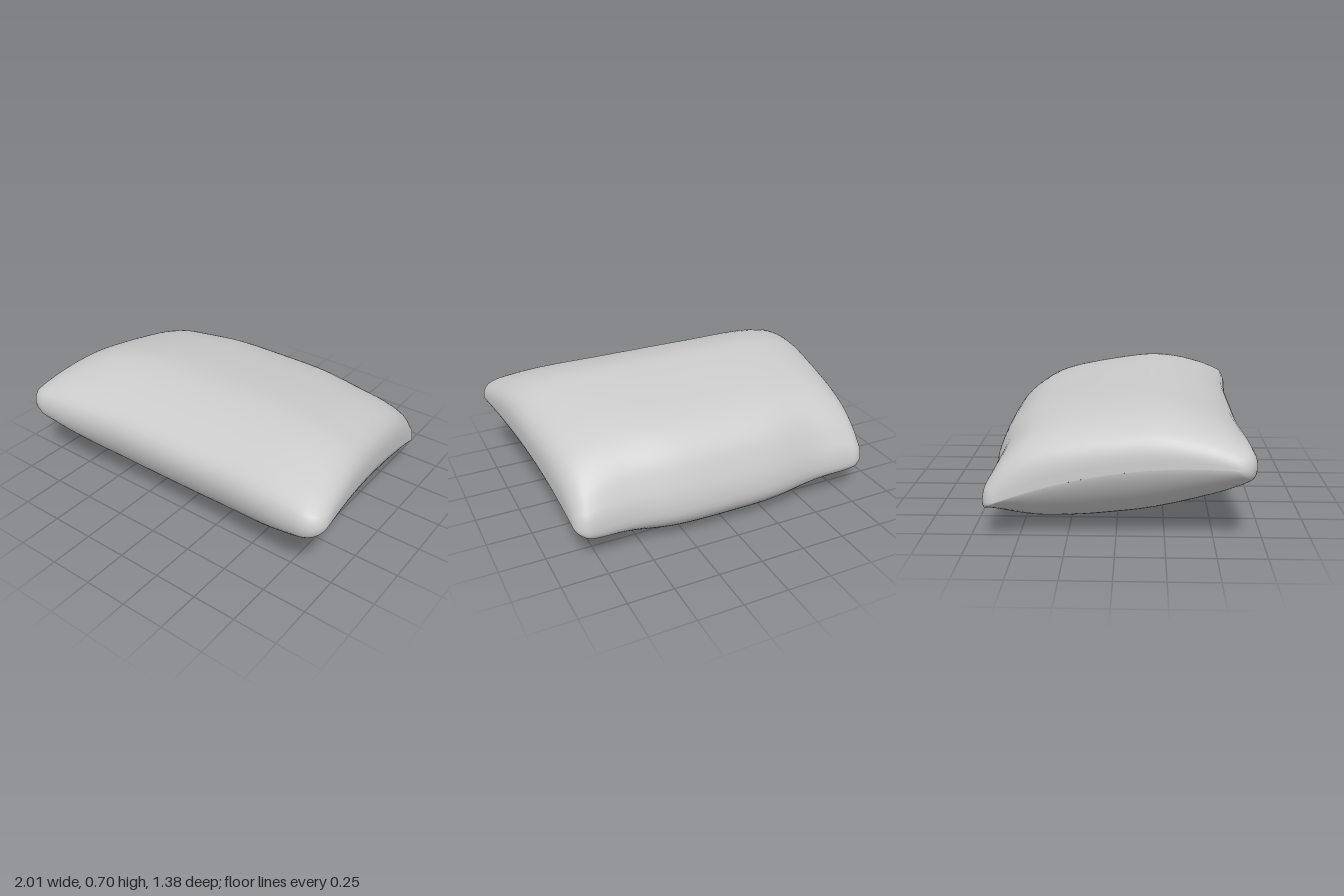
import * as THREE from 'three';

// Centre section of the cushion as [z, y]: front edge, over the top, back edge, underneath.
const PROFILE = [
  [0.655, 0.43], [0.635, 0.52], [0.54, 0.60], [0.43, 0.648], [0.32, 0.68], [0.17, 0.698], [0, 0.685],
  [-0.2, 0.655], [-0.35, 0.625], [-0.48, 0.58], [-0.59, 0.49], [-0.65, 0.38], [-0.688, 0.26],
  [-0.685, 0.15], [-0.6, 0.055], [-0.48, 0.01], [-0.35, 0.002], [-0.2, 0.006], [-0.05, 0.022],
  [0.1, 0.045], [0.25, 0.085], [0.4, 0.14], [0.52, 0.2], [0.61, 0.29],
];
const RING = 96, SPANS = 72;

// Quarter-round inset that begins at the given fraction of the half width.
function cornerInset(a, start, depth) {
  const q = Math.max(0, (a - start) / (1 - start));
  return depth * (1 - Math.sqrt(Math.max(0, 1 - q * q)));
}

// Front and back outline across the width: slight waves ending in rounded corners.
function outline(a) {
  const ear = THREE.MathUtils.smoothstep(a, 0.3, 0.9);
  const dip = Math.exp(-(((a - 0.62) / 0.22) ** 2));
  return {
    front: 0.655 + 0.035 * ear - cornerInset(a, 0.87, 0.11),
    back: -0.69 + 0.01 * ear + 0.028 * dip + cornerInset(a, 0.91, 0.08),
  };
}

function cushionGeometry() {
  const curve = new THREE.CatmullRomCurve3(PROFILE.map(([z, y]) => new THREE.Vector3(0, y, z)), true);
  const section = curve.getSpacedPoints(RING).slice(0, RING);
  const zs = section.map((p) => p.z);
  const zMax = Math.max(...zs), zMin = Math.min(...zs);
  const positions = [], index = [];

  for (let i = 0; i <= SPANS; i++) {
    const u = Math.sin((i / SPANS - 0.5) * Math.PI);
    const a = Math.abs(u);
    const { front, back } = outline(a);
    const topFull = Math.max(0, 1 - a ** 4.2) ** 0.32;
    const bottomFull = Math.max(0, 1 - a ** 3.7) ** 0.72;
    const tipRound = 0.06 * Math.sqrt(Math.max(0, 1 - a ** 12));
    for (const p of section) {
      const k = (zMax - p.z) / (zMax - zMin);
      const end = Math.abs(2 * k - 1);
      const z = THREE.MathUtils.lerp(front, back, k);
      const seam = THREE.MathUtils.lerp(0.452, 0.23, k);
      const rise = p.y - seam;
      // Full top, undercut bottom, pinched corners, and side seams arched up in the middle.
      const pinch = 1 - THREE.MathUtils.lerp(0.25, 0.5, k) * a ** 3 * end ** 4;
      const puff = (rise > 0 ? topFull : bottomFull) * pinch;
      const arch = 0.065 * (1 - end * end) * (1 - puff);
      // Blunt, rounded tips at the four corners.
      const tip = tipRound * end ** 2 * (1 - puff) * THREE.MathUtils.clamp(rise / 0.08, -1, 1);
      const width = 0.935 + 0.11 * z + 0.02 * z * z;
      positions.push(u * width, seam + arch + rise * puff + tip, z);
    }
  }
  for (let i = 0; i < SPANS; i++) {
    for (let j = 0; j < RING; j++) {
      const n = (j + 1) % RING;
      const a = i * RING + j, b = a + RING, c = i * RING + n, d = c + RING;
      index.push(a, b, c, b, d, c);
    }
  }
  const geometry = new THREE.BufferGeometry();
  geometry.setAttribute('position', new THREE.Float32BufferAttribute(positions, 3));
  geometry.setIndex(index);
  geometry.computeVertexNormals();
  return geometry;
}

export function createModel() {
  const group = new THREE.Group();
  group.name = 'pillow';
  const cushion = new THREE.Mesh(cushionGeometry(), new THREE.MeshStandardMaterial({ color: 0xcccccc }));
  cushion.name = 'cushion';
  group.add(cushion);
  return group;
}
